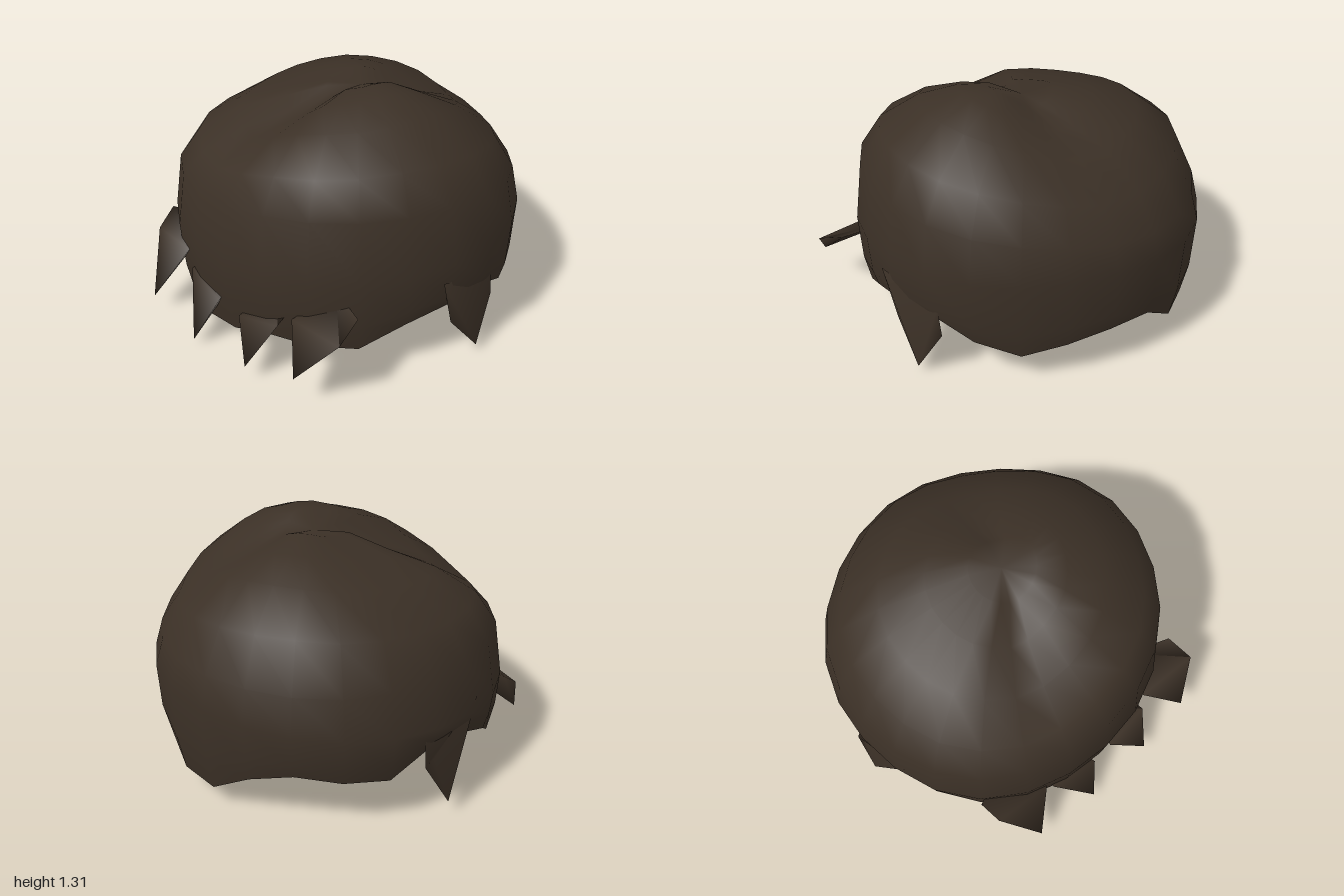
import * as THREE from 'three';

const SEGMENTS = 24;

// Height of the wavy lower hem, every 15 degrees from the front (+z) towards +x
const HEM = [
  0.10, 0.18, 0.17, 0.17, 0.30, 0.36, 0.38, 0.27, 0.19, 0.24, 0.28, 0.28,
  0.12, 0.11, 0.25, 0.32, 0.29, 0.27, 0.40, 0.38, 0.28, 0.13, 0.00, 0.05,
];

// Swell of the crown at the same angles: two broad ridges with a valley between
const SWELL = [
  -0.20, 0.60, 0.80, 0.85, 1.00, 0.95, 0.75, 0.30, -0.30, -0.80, -1.10, -0.70,
  0.00, 0.60, 1.00, 1.20, 1.10, 0.95, 0.75, 0.55, 0.40, 0.20, -0.75, -0.90,
];

// Crown rings: radius, height, tilt to +x, tilt to +z, swell, centre x, centre z
const RINGS = [
  [0.17, 1.245, 0.030, 0.000, 0.035, 0.09, -0.06],
  [0.35, 1.190, 0.055, 0.000, 0.060, 0.05, -0.065],
  [0.57, 1.120, 0.060, 0.000, 0.060, 0.02, -0.065],
  [0.78, 0.980, 0.060, 0.020, 0.050, 0.015, -0.065],
  [0.89, 0.810, 0.070, 0.050, 0.020, 0.015, -0.065],
  [0.935, 0.570, 0.060, -0.040, 0.000, 0.015, -0.065],
];

function surface(points, index) {
  const geometry = new THREE.BufferGeometry();
  geometry.setAttribute('position', new THREE.Float32BufferAttribute(points.flat(), 3));
  geometry.setIndex(index);
  geometry.computeVertexNormals();
  return geometry;
}

// Open dome: a dented pole, swelling rings, and a hem that follows the height list
function capGeometry() {
  const points = [[0.09, 1.235, -0.07]];
  const index = [];
  const addRing = (cx, cz, place) => {
    for (let j = 0; j < SEGMENTS; j++) {
      const angle = (j / SEGMENTS) * Math.PI * 2;
      const s = Math.sin(angle), c = Math.cos(angle);
      const [radius, y] = place(s, c, j);
      // Fuller at the front left corner, slimmer at the opposite one
      const r = radius * (1 + 0.035 * Math.sin(2 * angle) ** 2 * Math.cos(angle + 0.9));
      points.push([cx + r * 1.025 * s, y, cz + r * c]);
    }
  };
  for (const [r, y, tiltX, tiltZ, swell, cx, cz] of RINGS) {
    addRing(cx, cz, (s, c, j) => [r, y + tiltX * s + tiltZ * c + swell * SWELL[j]]);
  }
  addRing(0.015, -0.065, (s, c, j) => [0.922, 0.24 + HEM[j] * 0.5]);
  addRing(0.015, -0.065, (s, c, j) => [0.88 + 0.06 * HEM[j], HEM[j]]);

  const rings = RINGS.length + 2;
  for (let j = 0; j < SEGMENTS; j++) {
    const k = (j + 1) % SEGMENTS;
    index.push(0, 1 + j, 1 + k);
    for (let i = 0; i < rings - 1; i++) {
      const up = 1 + i * SEGMENTS, low = up + SEGMENTS;
      index.push(up + j, low + j, low + k, up + j, low + k, up + k);
    }
  }
  return surface(points, index);
}

// Pointed lock: four root corners running to one tip
function lockGeometry(corners, tip) {
  const index = [0, 2, 1, 0, 3, 2];
  for (let i = 0; i < 4; i++) index.push(i, (i + 1) % 4, 4);
  return surface([...corners, tip], index);
}

export function createModel() {
  const group = new THREE.Group();
  group.name = 'hair';
  const hair = new THREE.MeshStandardMaterial({ color: 0x3b3026, side: THREE.DoubleSide });
  hair.name = 'dark brown hair';

  const add = (name, geometry) => {
    const mesh = new THREE.Mesh(geometry, hair);
    mesh.name = name;
    group.add(mesh);
  };

  add('hairCap', capGeometry());

  // Fringe locks sticking out across the forehead, rooted inside the cap
  const fringe = [
    [[[-0.70, 0.47, 0.64], [-0.45, 0.45, 0.54], [-0.36, 0.41, 0.80], [-0.68, 0.39, 0.76]], [-0.52, 0.10, 0.95]],
    [[[-0.31, 0.35, 0.62], [-0.12, 0.34, 0.60], [-0.04, 0.28, 0.87], [-0.32, 0.32, 0.82]], [-0.13, 0.04, 0.99]],
    [[[0.14, 0.31, 0.62], [0.34, 0.39, 0.64], [0.37, 0.32, 0.84], [0.10, 0.25, 0.86]], [0.28, 0.10, 0.99]],
    [[[0.50, 0.45, 0.56], [0.74, 0.46, 0.66], [0.77, 0.41, 0.82], [0.42, 0.36, 0.79]], [0.60, 0.20, 0.96]],
  ];
  fringe.forEach(([corners, tip], i) => add(`fringeLock${i + 1}`, lockGeometry(corners, tip)));

  // Sideburn locks in front of each ear
  for (const [name, side, lift, tuck] of [['leftSideLock', 1, 0, 0], ['rightSideLock', -1, 0.04, 0.03]]) {
    const p = (x, y, z) => [side * x, y + lift, z];
    add(name, lockGeometry(
      [
        p(0.92 - tuck, 0.53, 0.24), p(0.95 - tuck, 0.44, -0.12),
        p(0.95, 0.28, -0.14), p(0.92 - tuck, 0.25, 0.16),
      ],
      p(0.98, 0.04, 0),
    ));
  }

  return group;
}
